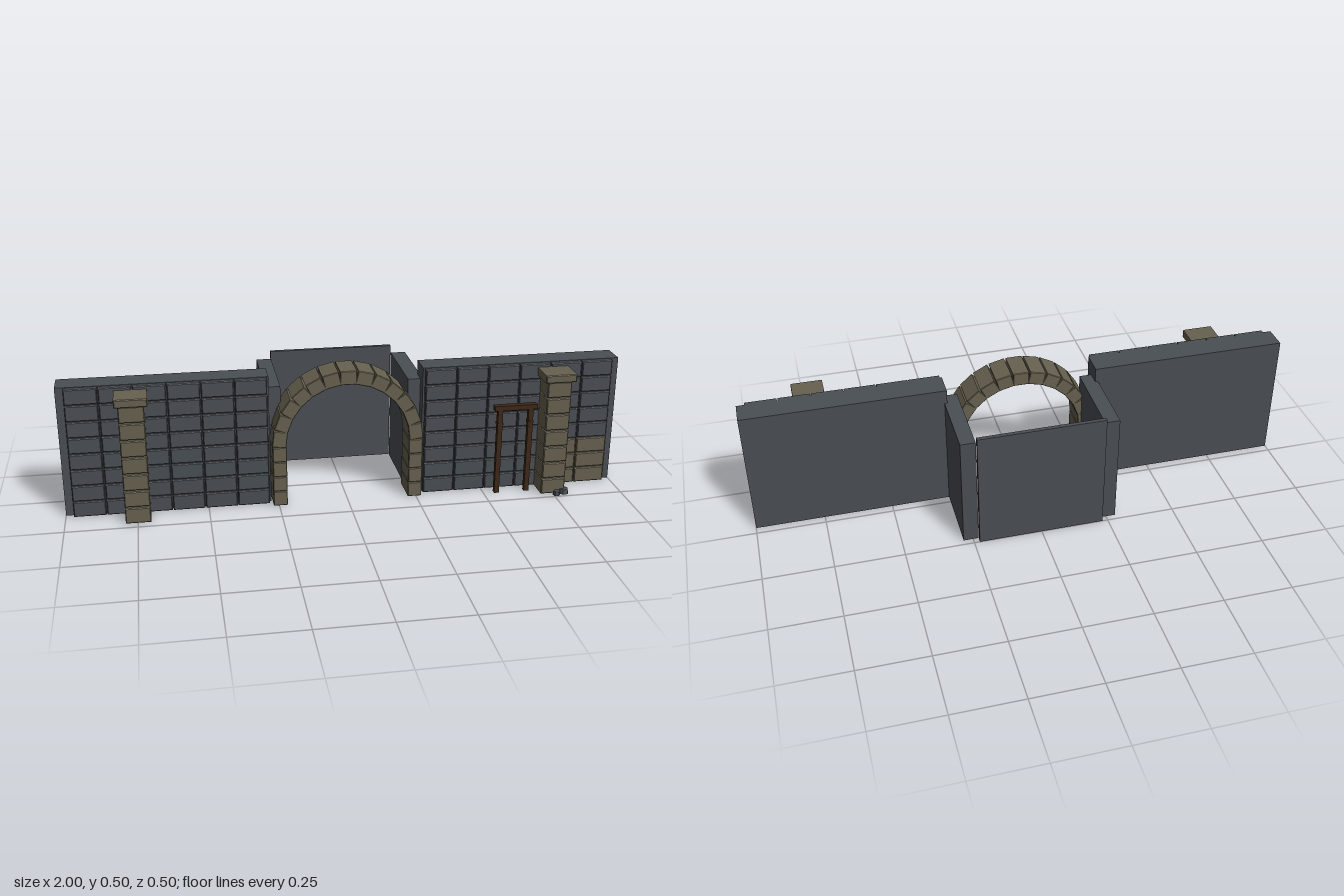
import * as THREE from 'three';

const slate = new THREE.MeshStandardMaterial({ color: 0x4a4f55 });
slate.name = 'slate';
const sandstone = new THREE.MeshStandardMaterial({ color: 0x67614f });
sandstone.name = 'sandstone';
const wood = new THREE.MeshStandardMaterial({ color: 0x3d2817 });
wood.name = 'dark wood';

function add(parent, name, geometry, material, x, y, z) {
  const mesh = new THREE.Mesh(geometry, material);
  mesh.name = name;
  mesh.position.set(x, y, z);
  parent.add(mesh);
  return mesh;
}

const box = (w, h, d) => new THREE.BoxGeometry(w, h, d);

// Block with chamfered edges, centred on its origin
function block(w, h, d, b = 0.003) {
  const x = w / 2 - b, y = h / 2 - b;
  const shape = new THREE.Shape();
  shape.moveTo(-x, -y).lineTo(x, -y).lineTo(x, y).lineTo(-x, y).closePath();
  const geometry = new THREE.ExtrudeGeometry(shape, {
    depth: d - 2 * b, bevelEnabled: true, bevelThickness: b, bevelSize: b, bevelSegments: 1,
  });
  return geometry.translate(0, 0, -(d - 2 * b) / 2);
}

function group(parent, name) {
  const g = new THREE.Group();
  g.name = name;
  parent.add(g);
  return g;
}

export function createModel() {
  const root = new THREE.Group();
  root.name = 'archedWall';

  const brickGeo = block(0.112, 0.056, 0.03);
  const shaftGeo = block(0.088, 0.057, 0.105);
  const capGeo = block(0.112, 0.029, 0.117);

  for (const side of [-1, 1]) {
    const label = side > 0 ? 'left' : 'right';

    // Front wall slab with a stacked grid of bricks
    const wall = group(root, label + 'Wall');
    add(wall, 'wallSlab', box(0.725, 0.477, 0.09), slate, side * 0.6375, 0.2385, 0.075);
    for (let col = 0; col < 6; col++) {
      for (let row = 0; row < 8; row++) {
        // Lower outer corner on one side is patched in sandstone
        const patch = side > 0 && col > 3 && row < 3;
        add(wall, patch ? 'patchBrick' : 'wallBrick', brickGeo, patch ? sandstone : slate,
          side * (0.338 + col * 0.1155), 0.029 + row * 0.0597, 0.125);
      }
    }

    // Pillar of separate blocks with a cap
    const pillar = group(root, label + 'Pillar');
    for (let i = 0; i < 7; i++) {
      add(pillar, 'pillarBlock', shaftGeo, sandstone, side * 0.748, 0.031 + i * 0.0622, 0.1725);
    }
    add(pillar, 'pillarCap', capGeo, sandstone, side * 0.748, 0.449, 0.1785);

    // Recess side wall
    add(root, label + 'RecessWall', box(0.055, 0.424, 0.308), slate, side * 0.2575, 0.212, -0.074);
  }

  // Recess back panel
  add(root, 'recessBack', box(0.46, 0.45, 0.015), slate, 0, 0.225, -0.2425);

  // Arch: stacked jambs and a ring of voussoirs
  const arch = group(root, 'arch');
  const jambGeo = block(0.05, 0.054, 0.118, 0.002);
  for (const side of [-1, 1]) {
    for (let i = 0; i < 4; i++) {
      add(arch, 'jambBlock', jambGeo, sandstone, side * 0.245, 0.028 + i * 0.0562, 0.104);
    }
  }
  const voussoirGeo = block(0.05, 0.059, 0.118, 0.002);
  for (let i = 0; i < 13; i++) {
    const a = ((i + 0.5) / 13) * Math.PI;
    const stone = add(arch, 'voussoir', voussoirGeo, sandstone,
      0.245 * Math.cos(a), 0.225 + 0.245 * Math.sin(a), 0.104);
    stone.rotation.z = a;
  }

  // Wooden door frame standing before the wall
  const frame = group(root, 'doorFrame');
  for (const x of [0.548, 0.661]) {
    add(frame, 'framePost', box(0.018, 0.324, 0.018), wood, x, 0.162, 0.175);
    add(frame, 'postBand', box(0.022, 0.008, 0.022), wood, x, 0.272, 0.175);
  }
  add(frame, 'frameLintel', box(0.158, 0.018, 0.024), wood, 0.605, 0.331, 0.175);

  // Loose rubble at the pillar foot
  const rubble = group(root, 'rubble');
  const stones = [[0.755, 0.203, 0.016, 0.014], [0.79, 0.222, 0.02, 0.018], [0.76, 0.235, 0.014, 0.016]];
  stones.forEach(([x, z, r, h], i) => {
    const stone = add(rubble, 'rubbleStone', new THREE.CylinderGeometry(r * 0.85, r, h, 6).toNonIndexed(),
      slate, x, h / 2, z);
    stone.geometry.computeVertexNormals();
    stone.rotation.y = i * 0.7;
  });

  return root;
}
